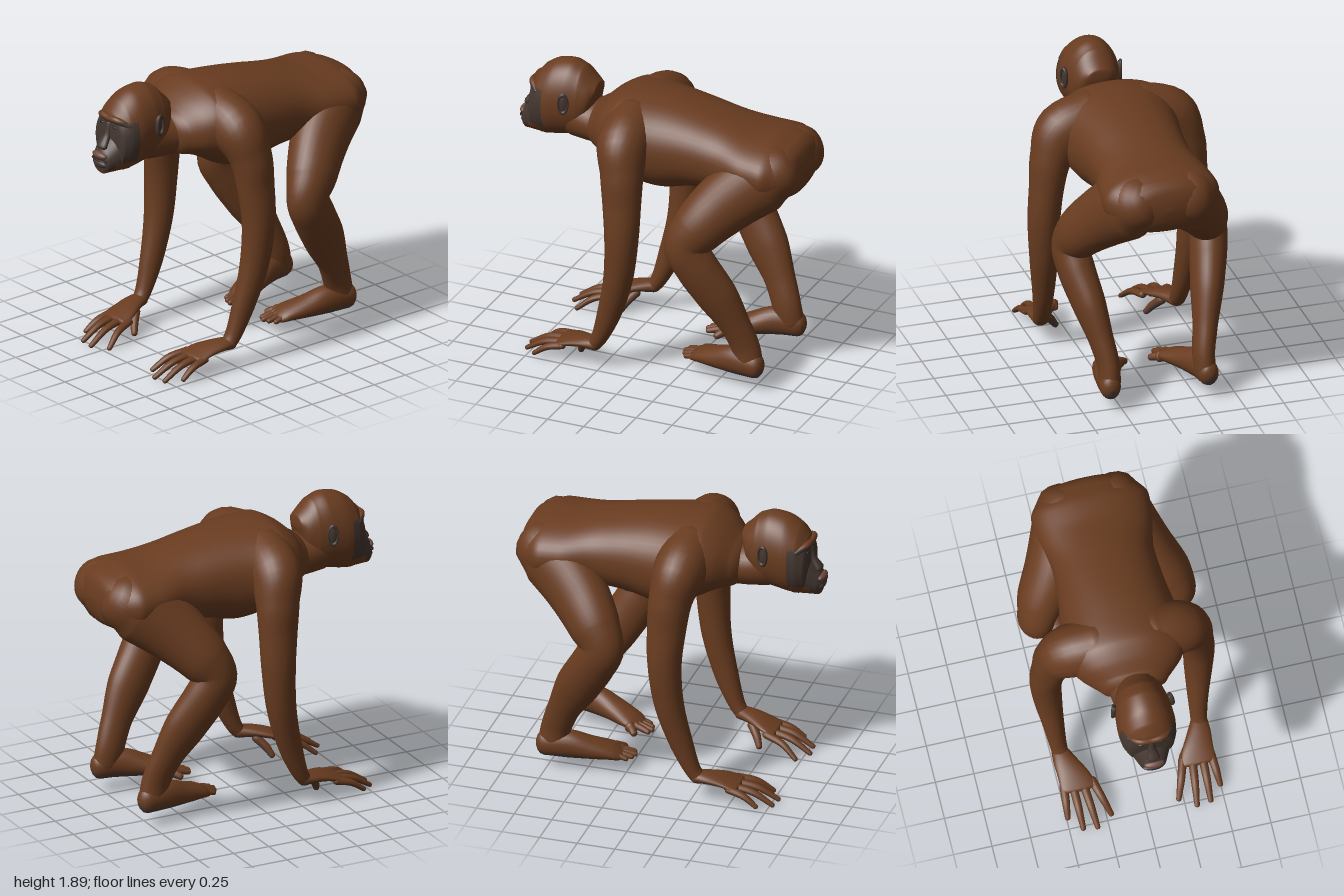
import * as THREE from 'three';

const mat = (name, color) => Object.assign(new THREE.MeshStandardMaterial({ color }), { name });
const X = new THREE.Vector3(1, 0, 0), Y = new THREE.Vector3(0, 1, 0), Z = new THREE.Vector3(0, 0, 1);
const power = (n, p) => Math.sign(n) * Math.abs(n) ** p;

// Smooth rounded body through sections [x, y, z, radiusA, radiusB]; radiusA runs along ref.
// facing fixes the ring direction, round < 1 squares the rings,
// pick(point, sine around the ring) may choose the second material for a face.
function loft(name, sections, mats, { ref = X, facing = null, round = 1, seg = 24, cap = 0.8, sub = 6, pick = null } = {}) {
  const path = new THREE.CatmullRomCurve3(sections.map(s => new THREE.Vector3(s[0], s[1], s[2])));
  const size = new THREE.CatmullRomCurve3(sections.map(s => new THREE.Vector3(s[3], s[4], 0)));
  const steps = (sections.length - 1) * sub, rings = [];
  const add = (t, off, scale) => {
    const r = size.getPoint(t), dir = facing || path.getTangent(t);
    const c = path.getPoint(t).addScaledVector(dir, off * cap * Math.min(r.x, r.y));
    const u = ref.clone().addScaledVector(dir, -ref.dot(dir)).normalize();
    rings.push({ c, u, v: dir.clone().cross(u), a: r.x * scale, b: r.y * scale });
  };
  const dome = [0.02, 0.35, 0.65, 0.88];
  dome.forEach(k => add(0, -Math.sqrt(1 - k * k), k));
  for (let i = 0; i <= steps; i++) add(i / steps, 0, 1);
  dome.slice().reverse().forEach(k => add(1, Math.sqrt(1 - k * k), k));

  const pos = [], buckets = [[], []];
  for (const { c, u, v, a, b } of rings) {
    for (let j = 0; j < seg; j++) {
      const th = j / seg * Math.PI * 2;
      const p = c.clone().addScaledVector(u, a * power(Math.cos(th), round))
        .addScaledVector(v, b * power(Math.sin(th), round));
      pos.push(p.x, p.y, p.z);
    }
  }
  const mid = new THREE.Vector3();
  for (let i = 0; i < rings.length - 1; i++) {
    for (let j = 0; j < seg; j++) {
      const k = (j + 1) % seg, A = i * seg + j, B = i * seg + k, C = B + seg, D = A + seg;
      mid.set(0, 0, 0);
      for (const q of [A, B, C, D]) mid.add(new THREE.Vector3().fromArray(pos, q * 3));
      const second = pick && pick(mid.multiplyScalar(0.25), Math.sin((j + 0.5) / seg * Math.PI * 2));
      buckets[second ? 1 : 0].push(A, B, C, A, C, D);
    }
  }
  const g = new THREE.BufferGeometry();
  g.setAttribute('position', new THREE.Float32BufferAttribute(pos, 3));
  g.setIndex([...buckets[0], ...buckets[1]]);
  g.addGroup(0, buckets[0].length, 0);
  g.addGroup(buckets[0].length, buckets[1].length, 1);
  g.computeVertexNormals();
  const mesh = new THREE.Mesh(g, pick ? mats : mats[0]);
  mesh.name = name;
  return mesh;
}

function ball(name, material, p, r) {
  const m = new THREE.Mesh(new THREE.SphereGeometry(1, 20, 14), material);
  m.position.set(...p);
  m.scale.set(...r);
  m.name = name;
  return m;
}

export function createModel() {
  const fur = mat('brown fur', 0x693c20), face = mat('dark face skin', 0x443630);
  const palm = mat('palm skin', 0x543e37), lip = mat('lip', 0x6c4a3c), dark = mat('eye and mouth', 0x2a211e);
  const model = new THREE.Group();
  model.name = 'ape';

  // Trunk and neck
  model.add(loft('torso', [
    [0, 1.47, -0.91, 0.32, 0.175], [0, 1.48, -0.8, 0.382, 0.198], [0, 1.485, -0.65, 0.372, 0.203],
    [0, 1.495, -0.45, 0.33, 0.235], [0, 1.505, -0.25, 0.34, 0.265], [0, 1.5, -0.05, 0.37, 0.3],
    [0, 1.523, 0.11, 0.4, 0.288], [0, 1.557, 0.24, 0.385, 0.248], [0, 1.553, 0.34, 0.32, 0.195],
    [0, 1.525, 0.42, 0.23, 0.15]], [fur], { facing: Z, round: 0.9, seg: 48, cap: 0.45 }));
  model.add(loft('neck', [
    [0, 1.56, 0.26, 0.25, 0.225], [0, 1.535, 0.36, 0.21, 0.18], [0, 1.512, 0.45, 0.17, 0.142],
    [0, 1.53, 0.62, 0.15, 0.15]], [fur], { facing: Z, seg: 32 }));

  // Head with the bare face as a second material
  const head = new THREE.Group();
  head.name = 'head';
  const bare = p => p.z > 0.785 && p.y > 1.45 && p.y < 1.72;
  head.add(loft('skull', [
    [0, 1.725, 0.462, 0.08, 0.05], [0, 1.67, 0.5, 0.13, 0.14], [0, 1.643, 0.56, 0.16, 0.228],
    [0, 1.643, 0.64, 0.178, 0.256], [0, 1.627, 0.74, 0.186, 0.258], [0, 1.595, 0.83, 0.176, 0.236],
    [0, 1.57, 0.885, 0.148, 0.19]],
    [fur, face], { facing: Z, seg: 96, sub: 10, cap: 0.15, pick: bare }));
  head.add(loft('muzzle', [
    [0, 1.52, 0.8, 0.155, 0.16], [0, 1.49, 0.89, 0.118, 0.127], [0, 1.45, 0.955, 0.082, 0.087]],
    [fur, face], { facing: Z, seg: 64, sub: 10, cap: 0.3, pick: p => bare(p) || (p.z > 0.92 && p.y > 1.4) }));
  head.add(loft('browRidge', [
    [-0.14, 1.695, 0.835, 0.018, 0.018], [-0.075, 1.728, 0.89, 0.023, 0.022], [0, 1.725, 0.898, 0.022, 0.02],
    [0.075, 1.728, 0.89, 0.023, 0.022], [0.14, 1.695, 0.835, 0.018, 0.018]], [fur, face],
    { ref: Y, seg: 24, pick: p => p.y < 1.728 }));
  head.add(loft('nose', [
    [0, 1.69, 0.892, 0.02, 0.018], [0, 1.61, 0.91, 0.026, 0.022], [0, 1.545, 0.952, 0.043, 0.024]],
    [face], { seg: 16 }));
  head.add(ball('upperLip', lip, [0, 1.492, 0.97], [0.066, 0.024, 0.03]));
  head.add(ball('mouth', dark, [0, 1.463, 0.972], [0.073, 0.009, 0.026]));
  head.add(ball('lowerLip', face, [0, 1.434, 0.966], [0.065, 0.026, 0.026]));
  model.add(head);

  for (const s of [1, -1]) {
    const side = s > 0 ? 'left' : 'right';
    const limb = (name, pts, mats, opt) =>
      loft(side + name, pts.map(p => [p[0] * s, ...p.slice(1)]), mats, opt);
    const under = (p, sine) => sine < -0.3;

    // Eye and ear
    head.add(ball(side + 'Eye', dark, [0.065 * s, 1.68, 0.897], [0.022, 0.009, 0.012]));
    const ear = new THREE.Group();
    ear.name = side + 'Ear';
    ear.add(ball('earBowl', face, [0, 0, 0], [0.016, 0.065, 0.032]));
    const rim = new THREE.Mesh(new THREE.TorusGeometry(0.05, 0.011, 8, 24), face);
    rim.name = 'earRim';
    rim.rotation.y = Math.PI / 2;
    rim.scale.set(0.62, 1.25, 1);
    rim.position.x = 0.012 * s;
    ear.add(rim);
    ear.position.set(0.176 * s, 1.665, 0.635);
    ear.rotation.y = 0.3 * s;
    head.add(ear);

    // Arm from inside the shoulder to the wrist
    model.add(limb('Arm', [
      [0.14, 1.612, 0.15, 0.18, 0.19], [0.35, 1.553, 0.135, 0.17, 0.185], [0.44, 1.4, 0.105, 0.14, 0.135],
      [0.475, 1.2, 0.09, 0.125, 0.11], [0.495, 0.97, 0.083, 0.11, 0.103], [0.487, 0.68, 0.11, 0.095, 0.09],
      [0.467, 0.4, 0.185, 0.076, 0.068], [0.455, 0.22, 0.255, 0.052, 0.055], [0.45, 0.165, 0.29, 0.045, 0.052]],
      [fur], { ref: Z, seg: 28 }));

    // Hand: palm, four spread fingers and a thumb reaching down
    model.add(limb('Palm', [
      [0.45, 0.168, 0.28, 0.055, 0.042], [0.43, 0.166, 0.36, 0.078, 0.036],
      [0.402, 0.15, 0.45, 0.1, 0.031], [0.386, 0.122, 0.54, 0.116, 0.024]],
      [fur, palm], { facing: Z, pick: under }));
    const fingers = [[0.477, 0.495, 0.69, 0.03], [0.42, 0.413, 0.775, 0.014], [0.355, 0.322, 0.785, 0.012], [0.295, 0.218, 0.72, 0.012]];
    for (const [x0, x1, z1, y1] of fingers) {
      model.add(limb('Finger', [
        [x0, 0.122, 0.5, 0.028, 0.024], [x0 * 0.5 + x1 * 0.5, 0.094, 0.26 + z1 * 0.5, 0.025, 0.021],
        [x1, y1 + 0.008, z1, 0.017, 0.015]], [fur, palm], { seg: 14, pick: under }));
    }
    model.add(limb('Thumb', [
      [0.38, 0.13, 0.38, 0.032, 0.03], [0.335, 0.075, 0.425, 0.027, 0.026], [0.3, 0.024, 0.452, 0.02, 0.02]],
      [fur, palm], { seg: 14, pick: under }));

    // Leg from the buttock through the knee to the ankle
    model.add(limb('Leg', [
      [0.16, 1.49, -0.85, 0.17, 0.175], [0.2, 1.43, -0.745, 0.185, 0.222], [0.3, 1.28, -0.56, 0.172, 0.203],
      [0.41, 1.11, -0.41, 0.152, 0.17], [0.455, 0.99, -0.345, 0.12, 0.142], [0.437, 0.85, -0.41, 0.118, 0.145],
      [0.392, 0.66, -0.525, 0.105, 0.142], [0.345, 0.45, -0.635, 0.078, 0.105], [0.315, 0.29, -0.695, 0.07, 0.097],
      [0.315, 0.18, -0.72, 0.068, 0.093]], [fur], { seg: 32 }));

    // Foot turned inwards, with toes
    model.add(limb('Foot', [
      [0.325, 0.172, -0.77, 0.066, 0.083], [0.305, 0.18, -0.63, 0.077, 0.094], [0.26, 0.153, -0.48, 0.09, 0.07],
      [0.21, 0.128, -0.36, 0.097, 0.046], [0.192, 0.115, -0.32, 0.09, 0.034]],
      [fur, palm], { pick: (p, sine) => sine < -0.45 }));
    const toes = [[0.155, 0.088, -0.31, 0.028], [0.17, 0.135, -0.23, 0.022], [0.195, 0.17, -0.215, 0.021],
      [0.225, 0.21, -0.225, 0.02], [0.255, 0.25, -0.25, 0.019]];
    for (const [x0, x1, z1, r] of toes) {
      model.add(limb('Toe', [
        [x0, 0.118, -0.37, r, r], [(x0 + x1) / 2, 0.116, (z1 - 0.37) / 2, r, r], [x1, 0.1, z1, r * 0.85, r * 0.8]],
        [fur, palm], { seg: 14, pick: (p, sine) => sine < -0.5 }));
    }
  }
  return model;
}
